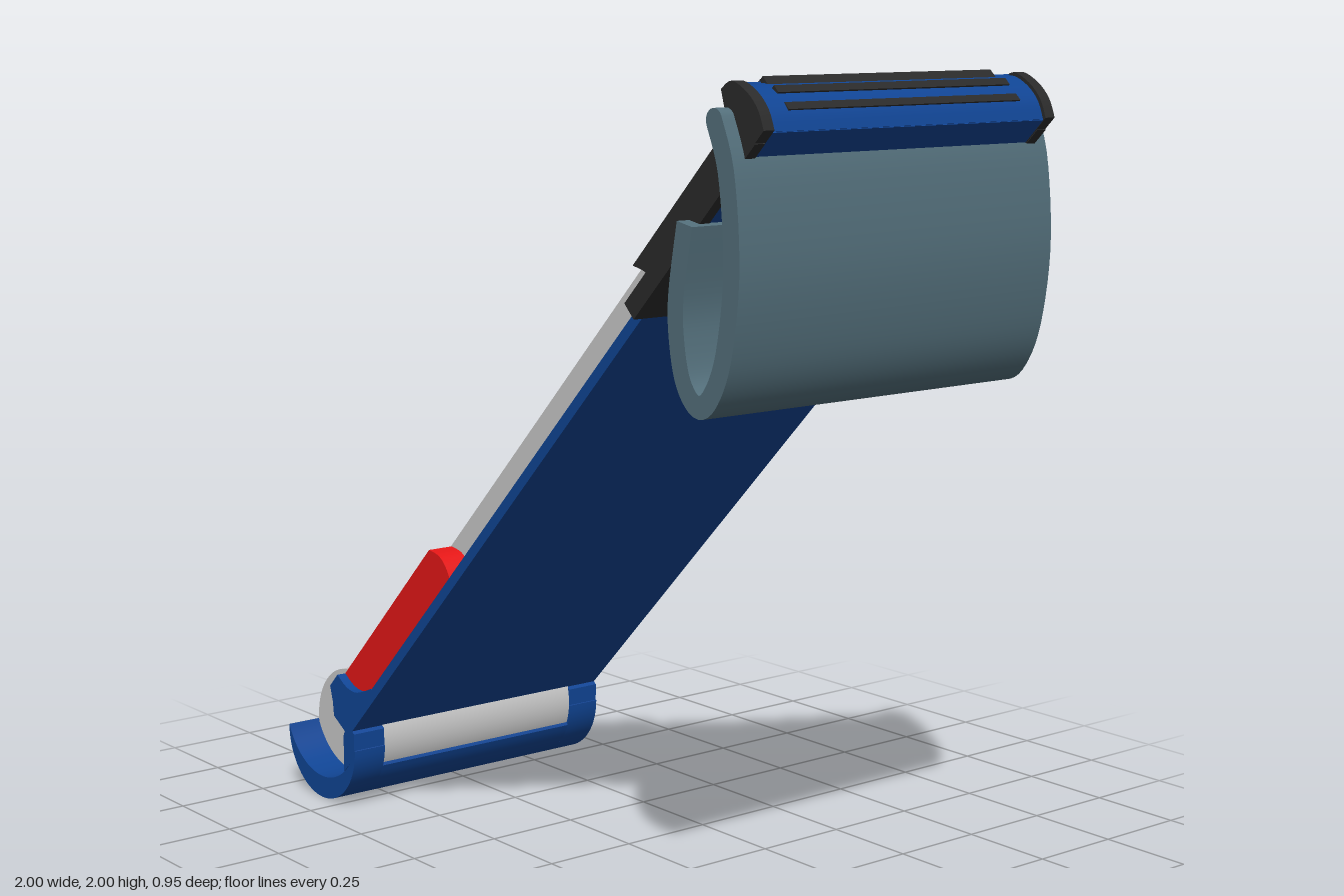
import * as THREE from 'three';
import { toCreasedNormals } from 'three/addons/utils/BufferGeometryUtils.js';

const mat = (color) => new THREE.MeshStandardMaterial({ color, side: THREE.DoubleSide });
const GREY = mat(0xcccccc), BLUE = mat(0x104595), RED = mat(0xe61717);
const BLACK = mat(0x2b2b2b), STRAP = mat(0x54707c);

const shapeOf = (pts) => new THREE.Shape(pts.map(([x, y]) => new THREE.Vector2(x, y)));

// Profile extruded from z0 to z1
function slab(parent, name, pts, z0, z1, material) {
  const g = new THREE.ExtrudeGeometry(shapeOf(pts), { depth: z1 - z0, bevelEnabled: false });
  g.translate(0, 0, z0);
  const mesh = new THREE.Mesh(toCreasedNormals(g, 0.5), material);
  mesh.name = name;
  parent.add(mesh);
}

// The same profile on both sides
function pair(parent, name, pts, z0, z1, material) {
  slab(parent, name + 'Left', pts, z0, z1, material);
  slab(parent, name + 'Right', pts, -z1, -z0, material);
}

const rect = (a, b, c, d) => [[a, c], [b, c], [b, d], [a, d]];

function spline(pts, n) {
  return new THREE.SplineCurve(pts.map(([x, y]) => new THREE.Vector2(x, y))).getPoints(n);
}
const smooth = (pts, n = 16) => spline(pts, n).map((p) => [p.x, p.y]);

function arc(cx, cy, r, a0, a1, n = 32) {
  return Array.from({ length: n + 1 }, (_, i) => {
    const a = a0 + ((a1 - a0) * i) / n;
    return [cx + r * Math.cos(a), cy + r * Math.sin(a)];
  });
}

// Ribbon of constant thickness along a path, with a rounded start
function ribbon(path, half) {
  const pts = spline(path, 48), left = [], right = [];
  pts.forEach((p, i) => {
    const a = pts[Math.max(i - 1, 0)], b = pts[Math.min(i + 1, pts.length - 1)];
    const t = b.clone().sub(a).normalize();
    left.push([p.x - t.y * half, p.y + t.x * half]);
    right.push([p.x + t.y * half, p.y - t.x * half]);
  });
  const t = pts[1].clone().sub(pts[0]);
  const a = Math.atan2(t.y, t.x);
  const cap = arc(pts[0].x, pts[0].y, half, a - Math.PI / 2, a - Math.PI * 1.5, 10).slice(1, -1);
  return [...left, ...right.reverse(), ...cap];
}

export function createModel() {
  const model = new THREE.Group();
  model.name = 'model';

  // Inclined body: local x runs up the slope, local y is its thickness
  const body = new THREE.Group();
  body.name = 'inclinedBody';
  body.rotation.z = Math.PI / 4;
  body.position.y = 1;
  model.add(body);

  slab(body, 'tray', rect(-1.055, 1.33, -0.072, -0.045), -0.41, 0.41, BLUE);
  slab(body, 'board', rect(-1.03, 1.325, -0.046, 0.079), -0.315, 0.315, GREY);

  // Red side grips with rounded ends
  const redLow = smooth([[-0.976, 0.077], [-0.962, 0.028], [-0.93, -0.011], [-0.863, -0.042]]);
  const redHigh = smooth([[-0.378, -0.044], [-0.366, 0], [-0.37, 0.04], [-0.395, 0.077]]);
  pair(body, 'sideGrip', [...redLow, ...redHigh], 0.314, 0.385, RED);

  // Brackets joining the tray to the roller cup
  pair(body, 'lowerBracket',
    [[-1.055, -0.07], [-0.86, -0.07], ...redLow.slice().reverse(), [-1.03, 0.077], [-1.05, 0.04], [-1.075, 0.008]],
    0.314, 0.41, BLUE);
  pair(body, 'gripTip', rect(-1.063, -1.02, 0.03, 0.085), 0.314, 0.385, RED);

  // Black upper side covers
  const startEdge = smooth([[0.715, 0.083], [0.742, 0.035], [0.742, -0.02], [0.728, -0.05]]);
  pair(body, 'sideCover', [...startEdge, [1.335, -0.05], [1.335, 0.07], [1.325, 0.083]], 0.314, 0.345, BLACK);
  pair(body, 'coverShelf', rect(0.728, 0.92, -0.077, -0.035), 0.34, 0.44, BLACK);
  pair(body, 'coverLip', rect(0.728, 1.3, -0.075, -0.03), 0.412, 0.44, BLACK);
  const endProfile = smooth([[1.3, 0.081], [1.337, 0.07], [1.356, 0.02], [1.356, -0.03], [1.339, -0.073]]);
  pair(body, 'endPlate', [...endProfile, [1.24, -0.073], [1.24, -0.03]], 0.41, 0.44, BLACK);
  slab(body, 'undersideLip', rect(0.728, 0.79, -0.079, -0.071), -0.345, 0.345, BLACK);

  // Blue end cap with dark slots
  const capProfile = endProfile.map(([x, y]) => [x - 0.008, y * 0.96]);
  slab(body, 'endCap', [...capProfile, [1.27, -0.07], [1.27, -0.04], [1.322, -0.04], [1.322, 0.078]], -0.41, 0.41, BLUE);
  slab(body, 'endCapTop', rect(1.318, 1.335, 0.04, 0.082), -0.345, 0.345, BLACK);
  for (const y of [0.03, -0.018]) {
    slab(body, 'endSlot', rect(1.34, 1.352, y - 0.01, y + 0.01), -0.35, 0.35, BLACK);
  }

  // Hanging strap loop
  slab(model, 'strap', ribbon([[0.881, 1.913], [0.922, 1.8], [0.94, 1.6], [0.917, 1.42], [0.875, 1.325],
    [0.83, 1.3], [0.785, 1.345], [0.762, 1.43], [0.758, 1.53], [0.786, 1.69]], 0.026), -0.475, 0.475, STRAP);

  // Roller lying in its cup
  const cx = -0.833, cy = 0.168;
  const rollerGeo = new THREE.CylinderGeometry(0.165, 0.165, 0.63, 64);
  rollerGeo.rotateX(Math.PI / 2).translate(cx, cy + 0.01, 0);
  const roller = new THREE.Mesh(rollerGeo, GREY);
  roller.name = 'roller';
  model.add(roller);

  // Crescent cup, with a window on the uphill side between its ends
  const outer = arc(cx, cy, 0.168, Math.PI, 2 * Math.PI);
  const inner = arc(cx, 0.242, 0.182, -0.41, -Math.PI + 0.41);
  pair(model, 'cupEnd', [...outer, ...inner], 0.314, 0.41, BLUE);
  const outerMid = arc(cx, cy, 0.168, Math.PI, 2 * Math.PI - 0.36);
  const innerMid = arc(cx, 0.242, 0.182, -0.65, -Math.PI + 0.41);
  slab(model, 'cupMiddle', [...outerMid, ...innerMid], -0.315, 0.315, BLUE);

  // Webs linking the cup ends with the tray
  pair(model, 'cupLink', [[-0.72, 0.1], [-0.668, 0.15], [-0.667, 0.215], [-0.7, 0.24], [-0.72, 0.2]], 0.314, 0.41, BLUE);
  return model;
}
